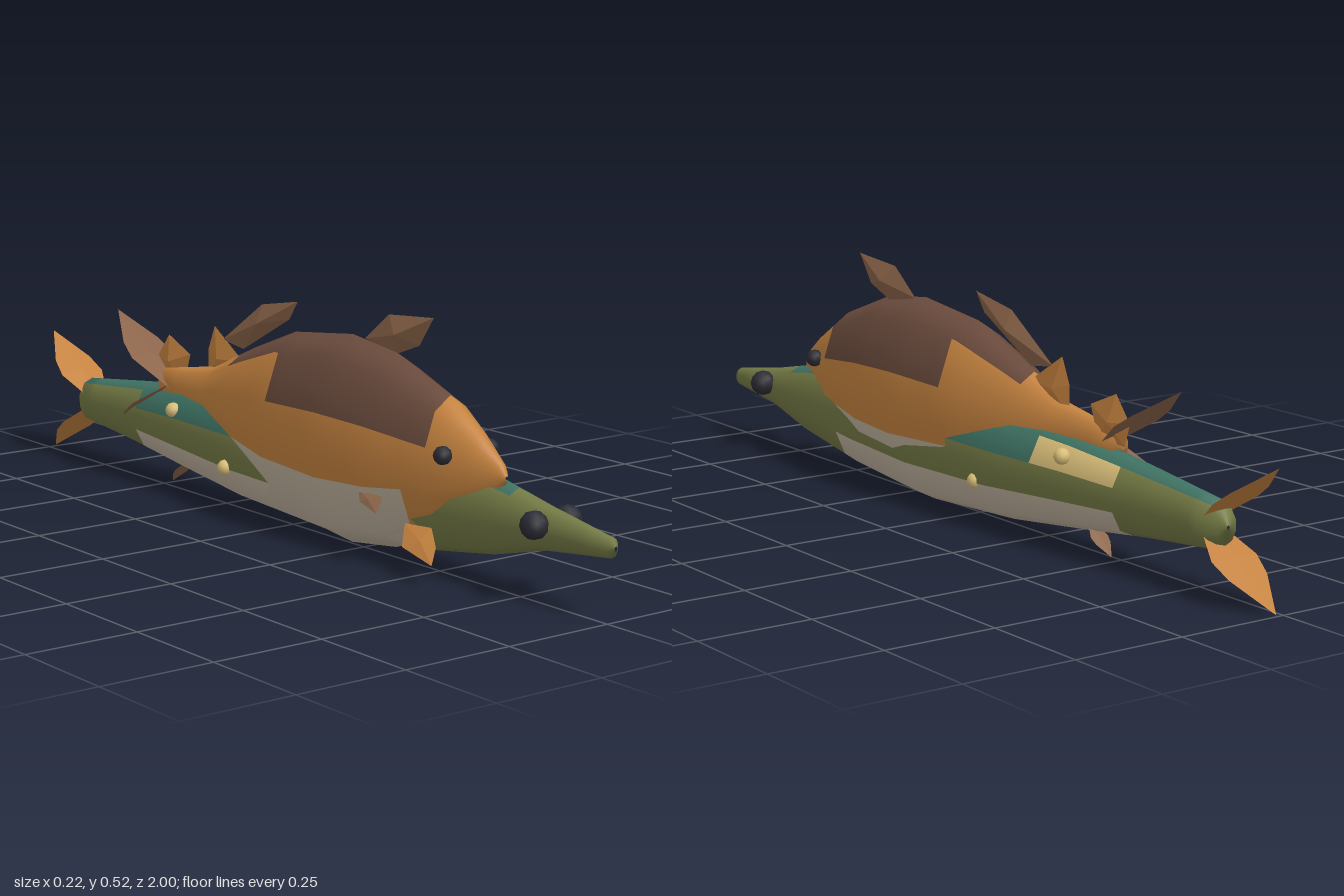
import * as THREE from 'three';

const paint = (name, color, side = THREE.FrontSide) => {
  const m = new THREE.MeshStandardMaterial({ color, side });
  m.name = name;
  return m;
};

// Lofted body with ten corners. Rings are [z, centreY, radiusX, radiusY], front to back.
// colourAt(z, height angle, side angle) returns an index into the materials.
function loft(name, cx, rings, materials, colourAt) {
  const SUB = 3, N = 10 * SUB, step = 0.02;
  const z0 = rings[0][0], z1 = rings[rings.length - 1][0];
  const at = z => {
    const zc = Math.min(z0, Math.max(z1, z));
    let i = 0;
    while (i < rings.length - 2 && zc < rings[i + 1][0]) i++;
    const a = rings[i], b = rings[i + 1], t = (a[0] - zc) / (a[0] - b[0]);
    return a.map((v, k) => v + (b[k] - v) * t);
  };
  // regular slices plus the exact ring positions
  const zs = rings.map(r => r[0]);
  for (let z = z0 - step; z > z1; z -= step) zs.push(z);
  zs.sort((a, b) => b - a);
  const pos = [], nor = [], buckets = materials.map(() => []);
  const n = new THREE.Vector3();
  for (const z of zs) {
    const [, cy, rx, ry] = at(z), f = at(z + 0.06), k = at(z - 0.06);
    const dz = f[0] - k[0];
    for (let j = 0; j <= N; j++) {
      const corner = Math.floor(j / SUB), t = (j % SUB) / SUB;
      const a = (18 + 36 * corner) * Math.PI / 180, b = a + Math.PI / 5;
      const c = Math.cos(a) * (1 - t) + Math.cos(b) * t;
      const s = Math.sin(a) * (1 - t) + Math.sin(b) * t;
      pos.push(cx + c * rx, cy + s * ry, z);
      const nz = -(c * c * (f[2] - k[2]) / rx + s * s * (f[3] - k[3]) / ry + s * (f[1] - k[1]) / ry) / dz;
      n.set(c / rx, s / ry, nz).normalize();
      nor.push(n.x, n.y, n.z);
    }
  }
  for (let i = 0; i < zs.length - 1; i++) {
    for (let j = 0; j < N; j++) {
      const deg = 18 + 36 * (j + 0.5) / SUB;
      const height = Math.asin(Math.sin(deg * Math.PI / 180)) * 180 / Math.PI;
      const a = i * (N + 1) + j, b = a + 1, c = a + N + 1, d = c + 1;
      buckets[colourAt((zs[i] + zs[i + 1]) / 2, height, deg)].push(a, c, b, b, c, d);
    }
  }
  const g = new THREE.BufferGeometry();
  g.setAttribute('position', new THREE.Float32BufferAttribute(pos, 3));
  g.setAttribute('normal', new THREE.Float32BufferAttribute(nor, 3));
  g.setIndex(buckets.flat());
  let start = 0;
  buckets.forEach((list, m) => {
    g.addGroup(start, list.length, m);
    start += list.length;
  });
  const mesh = new THREE.Mesh(g, materials);
  mesh.name = name;
  return mesh;
}

// Faceted leaf: an outline of 3D points with a raised ridge on both faces
function leaf(name, material, outline, ridge) {
  const pts = outline.map(p => new THREE.Vector3(...p));
  const mid = pts.reduce((s, p) => s.add(p), new THREE.Vector3()).divideScalar(pts.length);
  const r = new THREE.Vector3(...ridge), tri = [];
  pts.forEach((p, i) => {
    const q = pts[(i + 1) % pts.length];
    tri.push(p, q, mid.clone().add(r), q, p, mid.clone().sub(r));
  });
  const g = new THREE.BufferGeometry().setFromPoints(tri);
  g.computeVertexNormals();
  const mesh = new THREE.Mesh(g, material);
  mesh.name = name;
  return mesh;
}

export function createModel() {
  const model = new THREE.Group();
  const orange = paint('orange', 0xc4823f), brown = paint('darkBrown', 0x694a3c);
  const green = paint('olive', 0x747a45), teal = paint('teal', 0x3f7263);
  const cream = paint('cream', 0xbfb19d), khaki = paint('khaki', 0xd8bd78);
  const dark = paint('eyeDark', 0x2a2a33);
  const finBrown = paint('finBrown', 0x8a6449, THREE.DoubleSide);
  const finOrange = paint('finOrange', 0xc4823f, THREE.DoubleSide);

  // Long slender fish
  model.add(loft('longFishBody', 0.018, [
    [1, 0.15, 0.004, 0.005], [0.99, 0.15, 0.016, 0.021], [0.8, 0.154, 0.035, 0.048],
    [0.65, 0.15, 0.05, 0.083], [0.4, 0.147, 0.074, 0.119], [0.15, 0.144, 0.088, 0.137],
    [-0.15, 0.146, 0.086, 0.124], [-0.4, 0.152, 0.071, 0.101], [-0.6, 0.153, 0.055, 0.077],
    [-0.83, 0.15, 0.037, 0.052], [-0.85, 0.15, 0.025, 0.036], [-0.855, 0.15, 0.003, 0.004],
  ], [green, teal, cream, khaki], (z, h, deg) => {
    if (deg > 18 && deg < 52 && z < -0.31 && z > -0.56) return 3;
    if (h < -18 && z < 0.46 && z > -0.57) return 2;
    if (h > 54 && z < 0.72 && z > -0.83) return 1;
    if (h > 18 && z < 0.46 && z > -0.57) return 1;
    return 0;
  }));

  // Deep humped fish
  model.add(loft('deepFishBody', 0.007, [
    [0.695, 0.232, 0.004, 0.006], [0.68, 0.233, 0.016, 0.03], [0.6, 0.231, 0.046, 0.092],
    [0.52, 0.23, 0.07, 0.145], [0.35, 0.23, 0.1, 0.207], [0.2, 0.23, 0.11, 0.226],
    [0, 0.23, 0.1, 0.203], [-0.15, 0.23, 0.074, 0.146], [-0.3, 0.236, 0.042, 0.075],
    [-0.5, 0.243, 0.021, 0.035], [-0.51, 0.243, 0.004, 0.006],
  ], [orange, brown, cream], (z, h) => {
    if (h > 18 && z < 0.52 && z > 0.02) return 1;
    if (h > 54 && z <= 0.02 && z > -0.2) return 1;
    if (h < -18 && z < 0.46 && z > -0.4) return 2;
    return 0;
  }));

  // Eyes
  const ball = (name, material, r, x, y, z) => {
    const m = new THREE.Mesh(new THREE.IcosahedronGeometry(r, 1), material);
    m.name = name;
    m.position.set(x, y, z);
    model.add(m);
  };
  for (const [side, s] of [['left', 1], ['right', -1]]) {
    ball(side + 'LongFishEye', dark, 0.03, 0.018 + s * 0.044, 0.167, 0.815);
    ball(side + 'DeepFishEye', dark, 0.02, 0.007 + s * 0.062, 0.267, 0.57);
  }

  // Raised spots
  [[0.093, 0.11, -0.11], [0.08, 0.215, -0.4], [-0.062, 0.11, -0.17], [-0.042, 0.2, -0.4]]
    .forEach((p, i) => ball('spot' + i, khaki, 0.018, ...p));

  // Upright fins, outlined in [z, y]
  const upright = (name, mat, x, half, outline) =>
    model.add(leaf(name, mat, outline.map(([z, y]) => [x, y, z]), [half, 0, 0]));
  upright('frontDorsalFin', finBrown, 0.015, 0.018,
    [[0.455, 0.524], [0.31, 0.512], [0.23, 0.45], [0.33, 0.43], [0.41, 0.46]]);
  upright('rearDorsalFin', finBrown, 0.012, 0.018,
    [[0, 0.498], [-0.13, 0.475], [-0.28, 0.375], [-0.2, 0.365], [-0.03, 0.455]]);
  upright('upperBackFin', finOrange, 0.012, 0.012,
    [[-0.2, 0.335], [-0.31, 0.402], [-0.335, 0.345], [-0.335, 0.28], [-0.26, 0.29]]);
  upright('lowerBackFin', finOrange, 0.018, 0.014,
    [[-0.415, 0.32], [-0.5, 0.355], [-0.545, 0.3], [-0.53, 0.25], [-0.44, 0.25]]);

  // Flat tail lobes, lying across the body and splayed up and down
  const lobe = (name, mat, x, half, from, to) => {
    const p = (side, t) => [x + side * half,
      from[1] + (to[1] - from[1]) * t, from[0] + (to[0] - from[0]) * t];
    model.add(leaf(name, mat,
      [p(0.35, 0), p(1, 0.4), p(0.85, 0.6), p(0, 1), p(-0.85, 0.6), p(-1, 0.4), p(-0.35, 0)],
      [0, 0.004, 0.003]));
  };
  lobe('longFishUpperTail', finOrange, 0.018, 0.057, [-0.79, 0.15], [-1, 0.295]);
  lobe('longFishLowerTail', finOrange, 0.018, 0.057, [-0.79, 0.15], [-1, 0.007]);
  lobe('deepFishUpperTail', finBrown, 0.003, 0.058, [-0.45, 0.24], [-0.69, 0.39]);
  lobe('deepFishLowerTail', finBrown, 0.003, 0.058, [-0.45, 0.25], [-0.69, 0.11]);
  lobe('bellyFin', finBrown, 0.018, 0.022, [-0.42, 0.07], [-0.49, 0.01]);

  // Paired fins showing on the right flank
  model.add(leaf('rightPectoralFin', finOrange, [[-0.045, 0.1, 0.44], [-0.085, 0.064, 0.48],
    [-0.102, 0.05, 0.595], [-0.07, 0.078, 0.57], [-0.04, 0.105, 0.52]], [0.003, -0.003, 0]));
  model.add(leaf('rightSideFin', finBrown, [[-0.08, 0.155, 0.33], [-0.1, 0.138, 0.36],
    [-0.112, 0.127, 0.43], [-0.08, 0.155, 0.41]], [0.003, -0.003, 0]));

  return model;
}
